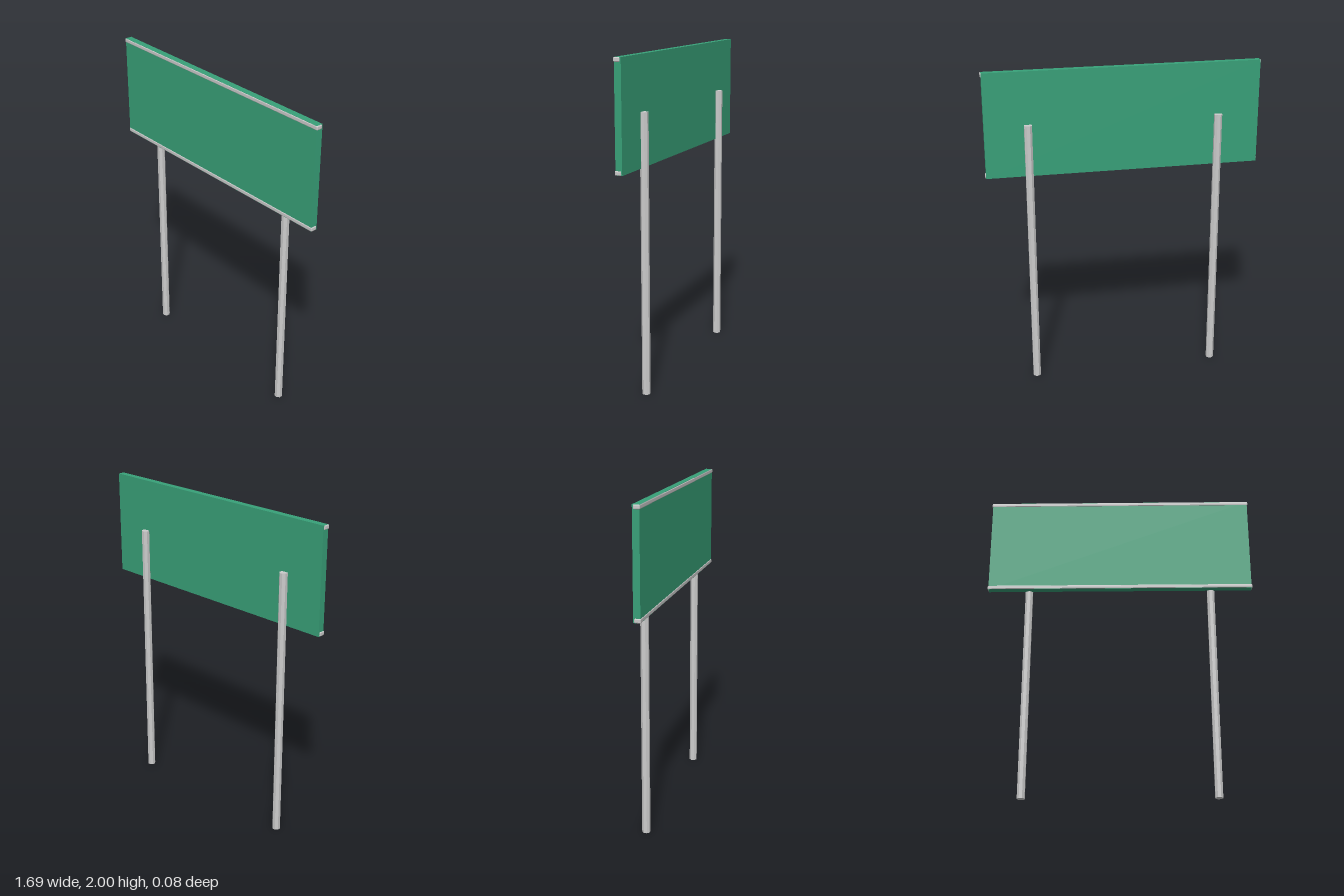
import * as THREE from 'three';
import { RoundedBoxGeometry } from 'three/addons/geometries/RoundedBoxGeometry.js';

export function createModel() {
  const sign = new THREE.Group();
  sign.name = 'roadSign';
  const metal = new THREE.MeshStandardMaterial({ color: 0xcccccc, flatShading: true });
  const green = new THREE.MeshStandardMaterial({ color: 0x38a078 });

  function add(name, geometry, material, x, y, z) {
    const mesh = new THREE.Mesh(geometry, material);
    mesh.name = name;
    mesh.position.set(x, y, z);
    sign.add(mesh);
    return mesh;
  }

  // Sign board
  const bottom = 1.36, top = 2, railHeight = 0.025;
  add('board', new THREE.BoxGeometry(1.676, top - bottom, 0.041), green, 0, (top + bottom) / 2, 0.0165);

  // Edge rails, standing slightly proud of the board's face and ends
  const rail = new RoundedBoxGeometry(1.686, railHeight, 0.038, 1, 0.005);
  add('topRail', rail, metal, 0, top - railHeight / 2 - 0.0005, 0.021);
  add('bottomRail', rail, metal, 0, bottom + railHeight / 2 + 0.0005, 0.021);

  // Eight-sided posts behind the board, flat side forward
  const postHeight = 1.68;
  const post = new THREE.CylinderGeometry(0.025, 0.025, postHeight, 8);
  post.rotateY(Math.PI / 8);
  for (const side of [-1, 1]) {
    add(side > 0 ? 'leftPost' : 'rightPost', post, metal, side * 0.58, postHeight / 2, -0.017);
  }

  return sign;
}
